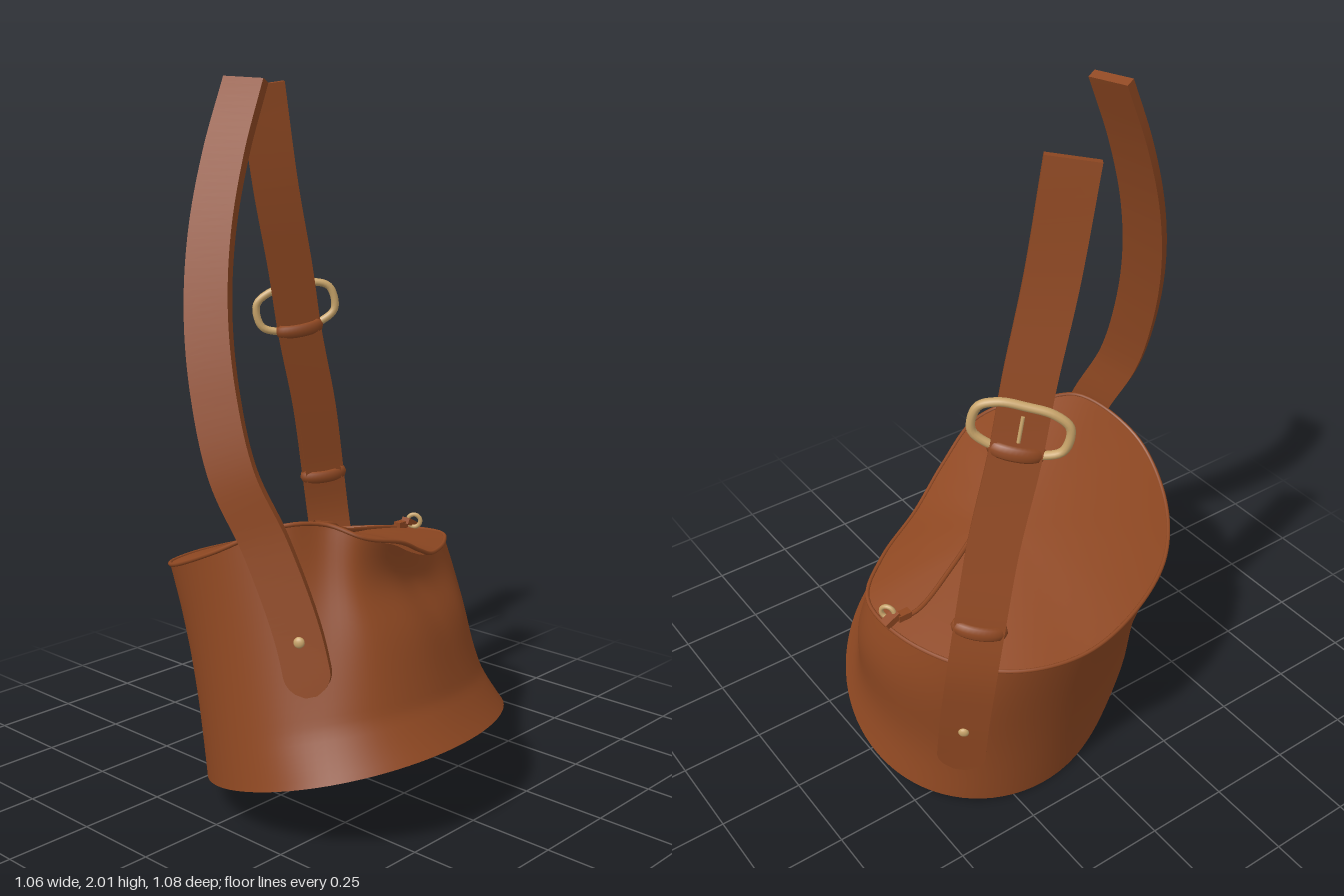
import * as THREE from 'three';

const V = (x, y, z) => new THREE.Vector3(x, y, z);
const leather = new THREE.MeshStandardMaterial({ color: 0x8f4822, side: THREE.DoubleSide });
leather.name = 'brown leather';
const brass = new THREE.MeshStandardMaterial({ color: 0xc8a46a });
brass.name = 'brass';

// Slumped mouth of the bag: control points of a closed loop
const rimCurve = new THREE.CatmullRomCurve3([
  [.325, .79, .12], [.305, .82, .235], [.225, .855, .3], [.165, .86, .41],
  [0, .775, .495], [-.2, .692, .45], [-.38, .635, .31], [-.49, .6, .1],
  [-.525, .58, -.1], [-.485, .585, -.28], [-.38, .59, -.4], [-.2, .61, -.49],
  [-.03, .625, -.49], [.085, .64, -.37], [.185, .665, -.19], [.27, .725, -.03],
].map((p) => V(...p)), true);

// Flattened corner of the base, on the side opposite the pinch
const corner = (u) => Math.exp(-(((u - .39) / .08) ** 2));

// Tilted, skewed oval of the base, bellied downward in the middle
function basePoint(u, k = 1) {
  const t = u * Math.PI * 2, r = k * (1 - .09 * corner(u));
  const x = .053 + r * .474 * Math.cos(t);
  return V(x, .118 + .277 * x - .04 * (1 - k ** 4), r * .535 * Math.sin(t + .23));
}

// Side wall: base to rim, pinched on one side so that the lid overhangs it
function wallPoint(u, s) {
  const p = basePoint(u).lerp(rimCurve.getPoint(u % 1), s);
  const t = u * Math.PI * 2;
  const arch = Math.sin(Math.PI * s);
  p.x -= .04 * Math.max(0, Math.cos(t)) * Math.min(1, s * 5) * (1 - s);
  p.x += (.012 * Math.max(0, -Math.cos(t)) + .015 * corner(u)) * arch;
  p.z += .015 * Math.max(0, -Math.sin(t)) * Math.sin(2 * Math.PI * s);
  const a = ((u + .5) % 1) - .46;
  const dent = Math.exp(-(a * a) / .013 - Math.pow((s - .84) / .2, 2));
  p.x -= .055 * dent;
  p.y -= .025 * dent * s;
  return p;
}

// Lid: sloping plane that blends into the rim
const lidPlane = (x, z) => .72 + .22 * x + .155 * z;
function lidPoint(u, v) {
  const k = 1 - v, r = rimCurve.getPoint(u % 1);
  const x = -.1 + (r.x + .1) * k, z = -.03 + (r.z + .03) * k;
  return V(x, lidPlane(x, z) + (r.y - lidPlane(r.x, r.z)) * k * k + .015 * (1 - k * k), z);
}

// Smooth surface closed around u
function loft(fn, nu, nv) {
  const pos = [], idx = [];
  for (let j = 0; j <= nv; j++)
    for (let i = 0; i < nu; i++) pos.push(...fn(i / nu, j / nv).toArray());
  for (let j = 0; j < nv; j++)
    for (let i = 0; i < nu; i++) {
      const a = j * nu + i, b = j * nu + (i + 1) % nu, c = a + nu, d = b + nu;
      idx.push(a, c, b, b, c, d);
    }
  const g = new THREE.BufferGeometry();
  g.setAttribute('position', new THREE.Float32BufferAttribute(pos, 3));
  g.setIndex(idx);
  g.computeVertexNormals();
  return g;
}

// Strap route: a curve plus the direction of its width at both ends
function route(points, w0, w1) {
  const curve = new THREE.CatmullRomCurve3(points.map((p) => V(...p)));
  const at = (t) => {
    const T = curve.getTangent(t);
    const W = V(...w0).lerp(V(...w1), t);
    W.addScaledVector(T, -W.dot(T)).normalize();
    return { c: curve.getPoint(t), W, T, N: W.clone().cross(T) };
  };
  const tAtY = (y) => {
    let a = 0, b = 1;
    for (let i = 0; i < 30; i++) {
      const m = (a + b) / 2;
      if (curve.getPoint(m).y < y) a = m; else b = m;
    }
    return a;
  };
  return { at, tAtY };
}

// Band of leather following a route between two heights
function band(r, y0, y1, width, thick, offset = 0, rounded = false) {
  const g = new THREE.BoxGeometry(width, 1, thick, 1, 90, 1);
  const p = g.attributes.position, t0 = r.tAtY(y0), t1 = r.tAtY(y1);
  for (let i = 0; i < p.count; i++) {
    const f = r.at(t0 + (t1 - t0) * (p.getY(i) + .5));
    const d = Math.min(1, (f.c.y - y0) / .06);
    const taper = rounded ? Math.max(.25, Math.sqrt(Math.max(0, 1 - (1 - d) ** 2))) : 1;
    const q = f.c.addScaledVector(f.W, p.getX(i) * taper).addScaledVector(f.N, p.getZ(i) + offset);
    p.setXYZ(i, q.x, q.y, q.z);
  }
  g.computeVertexNormals();
  return g;
}

// Stand a geometry on a route: x along width, y along strap, z outward
function mount(g, r, y, offset) {
  const f = r.at(r.tAtY(y));
  const m = new THREE.Matrix4().makeBasis(f.W, f.T, f.N);
  return g.applyMatrix4(m.setPosition(f.c.addScaledVector(f.N, offset)));
}

export function createModel() {
  const model = new THREE.Group();
  const add = (name, geo, mat = leather) => {
    const m = new THREE.Mesh(geo, mat);
    m.name = name;
    model.add(m);
  };
  const rivet = (r, y, off) =>
    mount(new THREE.SphereGeometry(.015, 16, 10).scale(1, 1, .6), r, y, off);
  // Loop of leather with rounded section wrapped around a strap
  const keeper = (r, y, halfWidth) =>
    mount(new THREE.TorusGeometry(1, .3, 8, 32).rotateX(Math.PI / 2).scale(halfWidth / 1.3, .07, .028), r, y, -.006);

  // Bag
  add('base', loft((u, v) => basePoint(u, v), 96, 12));
  add('wall', loft(wallPoint, 96, 32));
  add('lid', loft(lidPoint, 96, 14));
  add('rimPiping', new THREE.TubeGeometry(rimCurve, 128, .006, 8, true));

  // Zip across the lid with its puller: x, z and lift above the lid plane
  const zip = [[-.15, -.47, .012], [-.16, -.41, .012], [-.1, -.25, .014], [-.03, -.11, .015],
    [.08, .06, .018], [.15, .17, .027], [.185, .23, .038], [.185, .3, .045]]
    .map(([x, z, lift]) => V(x, lidPlane(x, z) + lift, z));
  add('zip', new THREE.TubeGeometry(new THREE.CatmullRomCurve3(zip), 60, .007, 6));
  add('zipSlider', new THREE.BoxGeometry(.025, .02, .04).translate(-.155, .635, -.45));
  add('zipRing', new THREE.TorusGeometry(.02, .007, 8, 20).rotateY(.6).translate(-.13, .645, -.485), brass);
  add('zipPull', new THREE.BoxGeometry(.03, .02, .05).rotateX(-.5).translate(-.148, .635, -.485));

  // Front strap
  const front = route([[.305, .44, .435], [.26, .6, .44], [.175, .82, .467], [.095, 1, .505],
    [.03, 1.2, .503], [-.02, 1.4, .478], [-.052, 1.6, .432], [-.068, 1.8, .365], [-.075, 2, .28]],
  [.8, 0, -.55], [.97, 0, -.25]);
  add('frontStrap', band(front, .44, 1.995, .125, .028, 0, true));
  add('frontRivet', rivet(front, .58, .015), brass);
  add('frontRivetBack', rivet(front, .58, -.015), brass);

  // Back strap with folded lower length, keepers and ring buckle
  const back = route([[-.4, .24, -.435], [-.43, .45, -.435], [-.45, .62, -.425], [-.445, .77, -.395],
    [-.425, 1, -.335], [-.415, 1.25, -.26], [-.405, 1.45, -.21], [-.4, 1.7, -.145], [-.4, 2, -.09]],
  [-.66, 0, .75], [-.57, 0, .82]);
  add('backStrap', band(back, .24, 1.996, .135, .024, 0, true));
  add('backStrapFold', band(back, .7, 1.25, .115, .016, -.02));
  add('lowerKeeper', keeper(back, .767, .076));
  add('upperKeeper', keeper(back, 1.262, .076));
  add('backRivet', rivet(back, .41, .013), brass);
  const ringPath = [[.07, .062], [0, .066], [-.07, .062], [-.117, .035], [-.117, -.035],
    [-.07, -.062], [0, -.066], [.07, -.062], [.117, -.035], [.117, .035]].map(([x, y]) => V(x, y, 0));
  const ring = new THREE.TubeGeometry(new THREE.CatmullRomCurve3(ringPath, true), 60, .012, 10, true);
  add('buckleRing', mount(ring.rotateX(.18).rotateZ(-.08), back, 1.325, .01), brass);
  add('bucklePin', mount(new THREE.CylinderGeometry(.005, .005, .07, 8), back, 1.325, .016), brass);
  return model;
}
